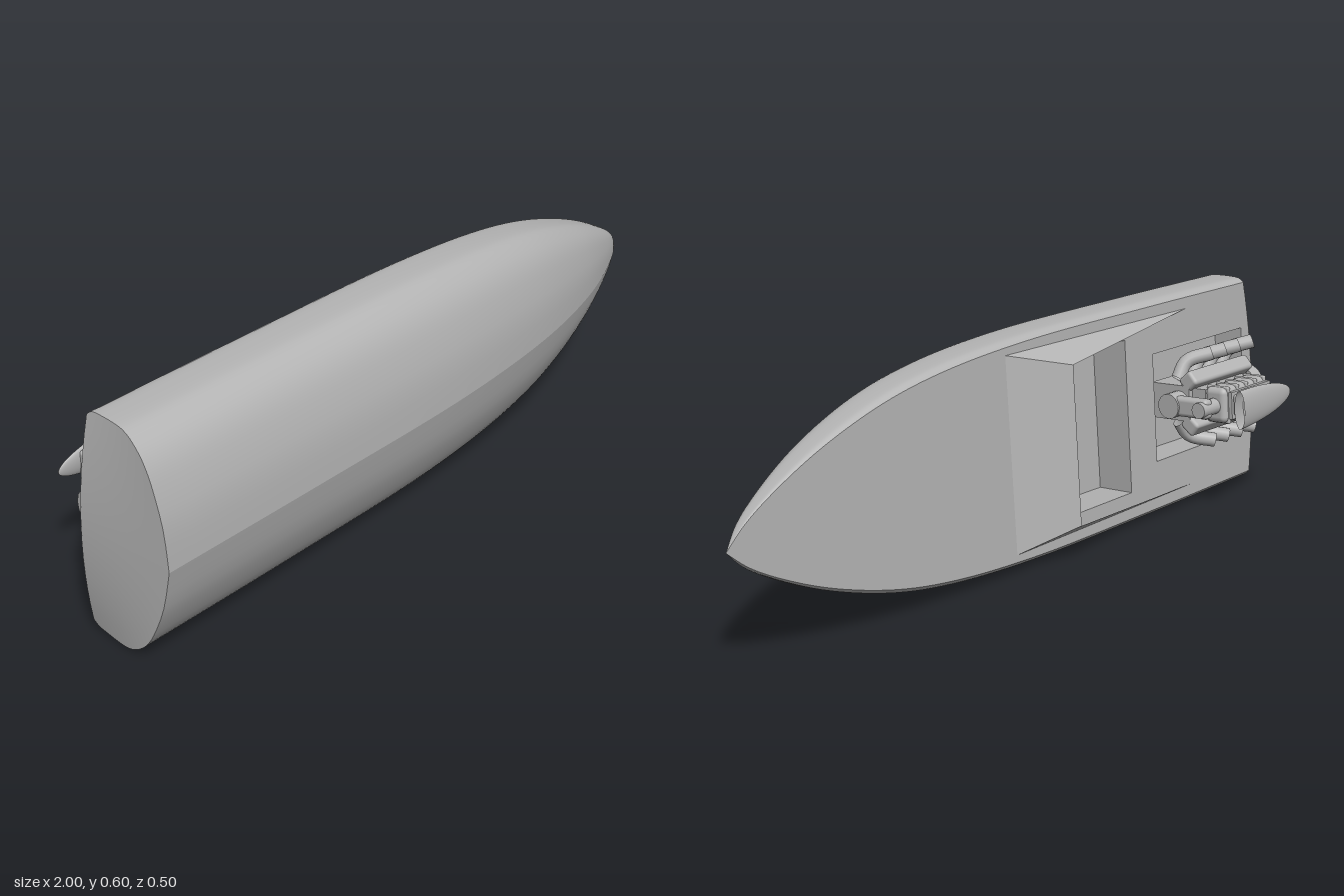
import * as THREE from 'three';
import { RoundedBoxGeometry } from 'three/addons/geometries/RoundedBoxGeometry.js';

// The boat is built with x = bow, y = up, z = beam, then laid on its side.
const hullGrey = new THREE.MeshStandardMaterial({ color: 0xb4b4b4, side: THREE.DoubleSide });
hullGrey.name = 'hullGrey';

const deckY = (x) => 0.012 + 0.033 * (x + 1);

function add(parent, name, geometry, x = 0, y = 0, z = 0) {
  const mesh = new THREE.Mesh(geometry, hullGrey);
  mesh.name = name;
  mesh.position.set(x, y, z);
  parent.add(mesh);
  return mesh;
}

// Surface through a grid of rows of points
function loft(rows) {
  const n = rows[0].length, index = [];
  for (let i = 0; i < rows.length - 1; i++)
    for (let j = 0; j < n - 1; j++) {
      const a = i * n + j, b = a + n;
      index.push(a, a + 1, b, b, a + 1, b + 1);
    }
  const g = new THREE.BufferGeometry().setFromPoints(rows.flat());
  g.setIndex(index);
  g.computeVertexNormals();
  return g;
}

// Rod between two points
function rod(parent, name, a, b, r) {
  const p = new THREE.Vector3(...a), q = new THREE.Vector3(...b);
  const dir = q.clone().sub(p);
  const mesh = add(parent, name, new THREE.CylinderGeometry(r, r, dir.length(), 16));
  mesh.position.copy(p).add(q).multiplyScalar(0.5);
  mesh.quaternion.setFromUnitVectors(new THREE.Vector3(0, 1, 0), dir.normalize());
}

// Open-topped well whose rim follows the deck
function well(parent, name, x0, x1, halfWidth, floor) {
  const g = new THREE.BoxGeometry(x1 - x0, 1, halfWidth * 2);
  g.translate((x0 + x1) / 2, 0, 0);
  const p = g.attributes.position;
  for (let i = 0; i < p.count; i++) p.setY(i, p.getY(i) > 0 ? deckY(p.getX(i)) : floor);
  const index = Array.from(g.index.array);
  index.splice(12, 6);
  g.setIndex(index);
  g.clearGroups();
  add(parent, name, g);
}

function buildHull(boat) {
  // Stations: x, half beam, keel height
  const stations = new THREE.CatmullRomCurve3([
    [-0.97, 0.297, -0.247], [-0.5, 0.3, -0.23], [0, 0.297, -0.207], [0.3, 0.275, -0.174],
    [0.5, 0.239, -0.137], [0.7, 0.175, -0.08], [0.85, 0.106, -0.018], [0.94, 0.052, 0.03], [1, 0, 0.078],
  ].map((p) => new THREE.Vector3(...p))).getPoints(48);
  // Half section: fraction of beam, fraction of depth
  const profile = new THREE.SplineCurve([
    [0, 1], [0.36, 0.935], [0.67, 0.81], [0.84, 0.695], [0.94, 0.57], [0.985, 0.47], [1, 0.37], [0.997, 0.2],
    [0.983, 0.06], [0.94, 0],
  ].map((p) => new THREE.Vector2(...p))).getPoints(27);

  const halfRows = (side) => stations.map((s, i) => profile.map((f) => {
    const w = s.y * f.x, top = deckY(s.x);
    // Transom leans and bulges aft
    const x = i === 0 ? s.x - 0.03 * (1 - (w / 0.3) ** 2) * (1 - f.y) : s.x;
    return new THREE.Vector3(x, top + (s.z - top) * f.y, w * side);
  }));
  const left = halfRows(-1), right = halfRows(1);
  add(boat, 'hullSideLeft', loft(left));
  add(boat, 'hullSideRight', loft(right));

  // Transom spans between the two aft half sections
  const strips = left[0].map((a, j) => {
    const row = [];
    for (let k = 0; k <= 12; k++) {
      const p = a.clone().lerp(right[0][j], k / 12);
      p.x = -0.97 - 0.03 * (1 - (p.z / 0.3) ** 2) * (1 - profile[j].y);
      row.push(p);
    }
    return row;
  });
  add(boat, 'transom', loft(strips));

  // Deck with cockpit and engine openings
  const last = profile.length - 1;
  const outline = strips[last].map((p) => [p.x, p.z]);
  right.slice(1).forEach((r) => outline.push([r[last].x, r[last].z]));
  left.slice(1, -1).reverse().forEach((r) => outline.push([r[last].x, r[last].z]));
  const shape = new THREE.Shape(outline.map((p) => new THREE.Vector2(...p)));
  for (const [x0, x1, w] of [[-0.41, 0, 0.21], [-0.955, -0.53, 0.15]])
    shape.holes.push(new THREE.Path([[x0, -w], [x0, w], [x1, w], [x1, -w]].map((p) => new THREE.Vector2(...p))));
  const deck = new THREE.ShapeGeometry(shape);
  deck.rotateX(-Math.PI / 2);
  const p = deck.attributes.position;
  for (let i = 0; i < p.count; i++) p.setY(i, deckY(p.getX(i)));
  deck.computeVertexNormals();
  add(boat, 'deck', deck);
  well(boat, 'cockpitWell', -0.41, 0, 0.21, -0.08);
  well(boat, 'engineBay', -0.955, -0.53, 0.15, -0.08);
}

function buildWindshield(boat) {
  const point = (x, y, z) => new THREE.Vector3(x, y, z);
  const base = [0.07, deckY(0.07)], peak = [-0.095, 0.123];
  add(boat, 'windshieldFront', loft([
    [point(...base, -0.257), point(...base, 0.257)],
    [point(...peak, -0.21), point(...peak, 0.21)],
  ]));
  for (const s of [-1, 1]) {
    const g = new THREE.BufferGeometry().setFromPoints([
      point(...base, 0.257 * s), point(...peak, 0.21 * s), point(-0.69, deckY(-0.69), 0.25 * s)]);
    g.computeVertexNormals();
    add(boat, 'windshieldSide', g);
  }
}

function buildSteering(boat) {
  const wheel = new THREE.Group();
  wheel.name = 'steeringWheel';
  wheel.position.set(-0.125, 0.03, 0.125);
  // Faces aft and up towards the helm
  wheel.quaternion.setFromUnitVectors(new THREE.Vector3(0, 0, 1), new THREE.Vector3(-0.8, 0.6, 0));
  add(wheel, 'wheelRim', new THREE.TorusGeometry(0.045, 0.006, 8, 28));
  add(wheel, 'wheelHub', new THREE.SphereGeometry(0.012, 12, 8));
  for (let i = 0; i < 3; i++) {
    const a = Math.PI / 2 + i * Math.PI * 2 / 3;
    rod(wheel, 'wheelSpoke', [0, 0, 0], [0.045 * Math.cos(a), 0.045 * Math.sin(a), 0], 0.005);
  }
  rod(wheel, 'steeringColumn', [0, 0, 0], [0, 0, -0.15], 0.008);
  boat.add(wheel);
}

function buildEngine(boat) {
  const engine = new THREE.Group();
  engine.name = 'engine';
  engine.position.z = -0.006;
  boat.add(engine);
  add(engine, 'engineBlock', new THREE.BoxGeometry(0.27, 0.13, 0.1), -0.77, 0, 0);
  for (const s of [-1, 1]) {
    const cover = add(engine, 'valveCover', new RoundedBoxGeometry(0.27, 0.05, 0.045, 2, 0.01), -0.77, 0.06, 0.062 * s);
    cover.rotation.x = 0.7 * s;
    // Exhaust stacks sweep aft and outward
    for (let i = 0; i < 4; i++) {
      const x = -0.745 - i * 0.064;
      const curve = new THREE.CatmullRomCurve3([
        new THREE.Vector3(x + 0.08, 0.005, 0.06 * s), new THREE.Vector3(x + 0.05, 0.014, 0.105 * s),
        new THREE.Vector3(x, 0.065, 0.125 * s)]);
      add(engine, 'exhaustStack', new THREE.TubeGeometry(curve, 10, 0.02, 14));
    }
  }
  rod(engine, 'flywheel', [-0.945, 0.04, 0], [-0.905, 0.04, 0], 0.055);

  // Supercharger with ribs, neck and air scoop
  add(engine, 'intakeManifold', new THREE.BoxGeometry(0.22, 0.05, 0.085), -0.76, 0.085, 0);
  add(engine, 'supercharger', new RoundedBoxGeometry(0.21, 0.07, 0.1, 3, 0.018), -0.758, 0.137, 0);
  for (let i = 0; i < 5; i++)
    add(engine, 'superchargerRib', new RoundedBoxGeometry(0.012, 0.074, 0.104, 2, 0.005), -0.842 + i * 0.042, 0.137, 0);
  add(engine, 'scoopPlate', new THREE.BoxGeometry(0.18, 0.012, 0.075), -0.76, 0.178, 0);
  for (const x of [-0.81, -0.715])
    add(engine, 'scoopNeck', new RoundedBoxGeometry(0.075, 0.04, 0.06, 2, 0.008), x, 0.2, 0);
  // Scoop is a shell rounded aft with an open mouth forward
  const shell = new THREE.SphereGeometry(1, 32, 16, 0, Math.PI * 2, 0, Math.PI / 2);
  shell.rotateZ(Math.PI / 2);
  const scoop = add(engine, 'airScoop', shell, -0.635, 0.235, 0);
  scoop.scale.set(0.275, 0.016, 0.053);
  scoop.rotation.z = 0.09;

  // Front drive with pulleys and belt cover
  add(engine, 'beltCover', new RoundedBoxGeometry(0.035, 0.14, 0.055, 3, 0.012), -0.608, 0.085, 0);
  rod(engine, 'upperPulley', [-0.65, 0.138, 0], [-0.578, 0.138, 0], 0.022);
  rod(engine, 'lowerPulley', [-0.65, 0.03, 0], [-0.585, 0.03, 0], 0.035);
}

export function createModel() {
  const model = new THREE.Group();
  model.name = 'speedboat';
  const boat = new THREE.Group();
  boat.name = 'boat';
  // Lying on its side with a slight roll
  boat.rotation.x = -Math.PI / 2 + 0.08;
  boat.position.y = 0.309;
  buildHull(boat);
  buildWindshield(boat);
  buildSteering(boat);
  buildEngine(boat);
  model.add(boat);
  return model;
}
